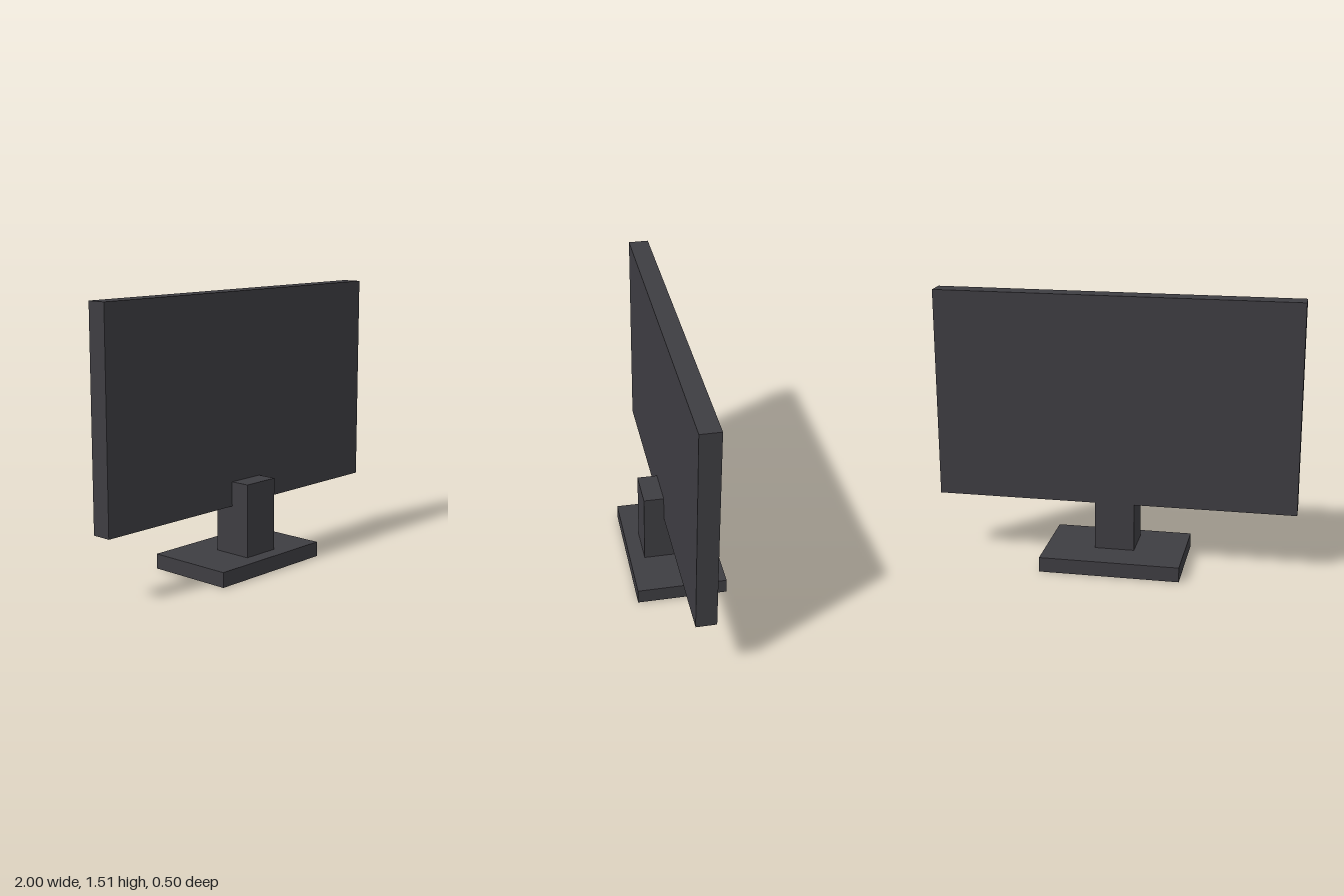
import * as THREE from 'three';

export function createModel() {
  const model = new THREE.Group();
  model.name = 'monitor';
  const charcoal = new THREE.MeshStandardMaterial({ color: 0x3e3d42 });
  charcoal.name = 'charcoal plastic';

  function add(name, geometry, x, y, z) {
    const mesh = new THREE.Mesh(geometry, charcoal);
    mesh.name = name;
    mesh.position.set(x, y, z);
    model.add(mesh);
    return mesh;
  }

  const screenBottom = 0.352, screenTop = 1.515, halfDepth = 0.055;
  const baseTop = 0.083, neckTop = 0.488, neckFront = 0.166, neckWidth = 0.22;

  // Flat screen panel
  add('screen', new THREE.BoxGeometry(2, screenTop - screenBottom, halfDepth * 2),
    0, (screenTop + screenBottom) / 2, 0);

  // Rectangular foot
  add('base', new THREE.BoxGeometry(0.775, baseTop, 0.5), -0.002, baseTop / 2, 0);

  // Stepped neck: passes under the panel and rises against its face.
  // Profile is drawn as (z, y) and extruded across the width.
  const profile = new THREE.Shape([
    [-halfDepth, baseTop], [neckFront, baseTop], [neckFront, neckTop],
    [halfDepth, neckTop], [halfDepth, screenBottom], [-halfDepth, screenBottom],
  ].map(([z, y]) => new THREE.Vector2(z, y)));
  const neckGeometry = new THREE.ExtrudeGeometry(profile, { depth: neckWidth, bevelEnabled: false });
  neckGeometry.translate(0, 0, -neckWidth / 2);
  neckGeometry.rotateY(-Math.PI / 2);
  add('neck', neckGeometry, 0, 0, 0);

  return model;
}
